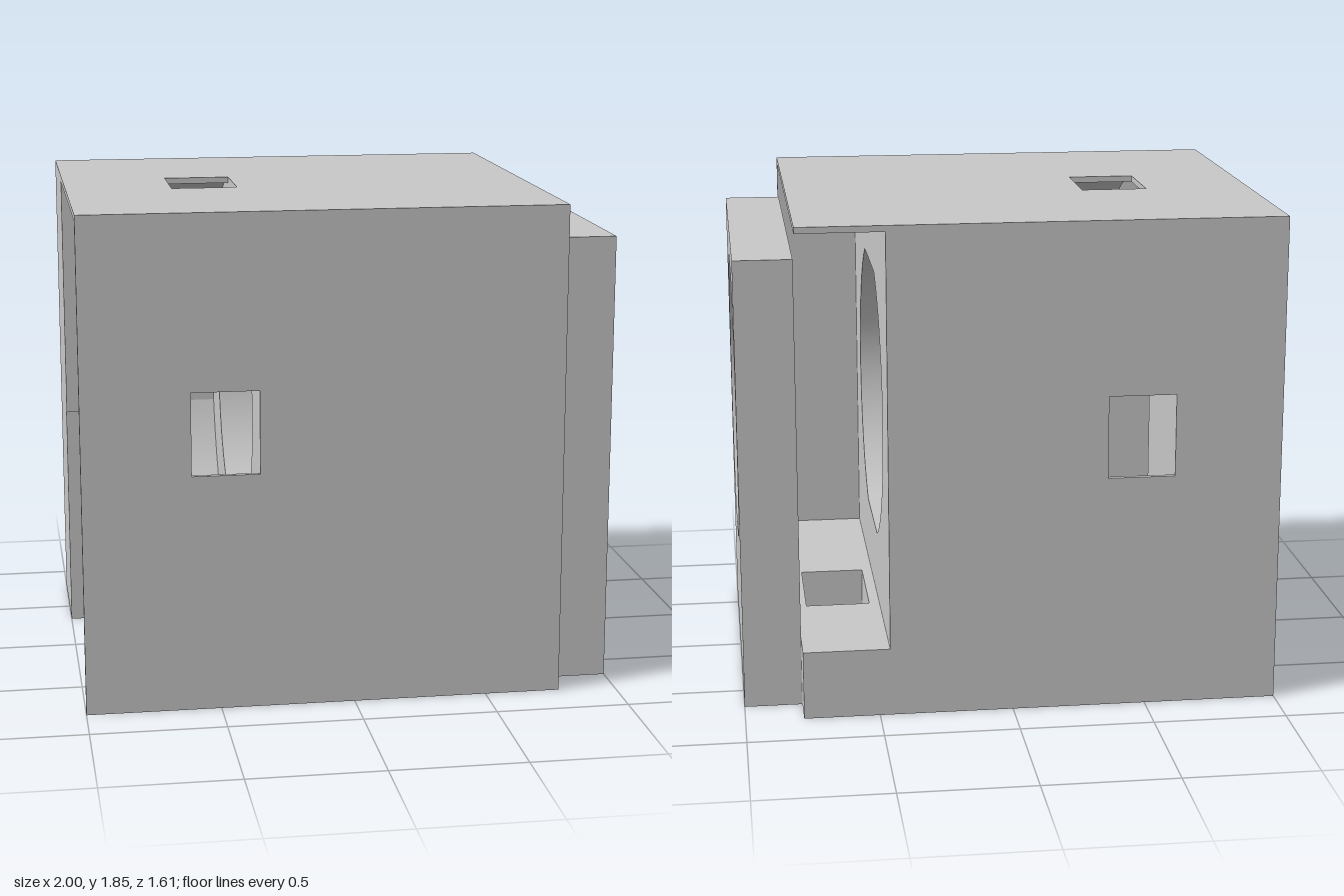
import * as THREE from 'three';
import { toCreasedNormals } from 'three/addons/utils/BufferGeometryUtils.js';

const OUTER = 0.805, INNER = 0.786;              // half depth outside and inside the covers
const LEDGE = 0.26, ROOF = 1.827, TOP = 1.85;    // y levels
const X0 = -1, X1 = -0.6, X2 = -0.35, X3 = 0.46, X4 = 0.783; // section planes along x
const CY = 1.044, R = 0.57, CHAMBER = 0.82;      // bore height, bore radius, rear chamber radius

export function createModel() {
  const model = new THREE.Group();
  const grey = new THREE.MeshStandardMaterial({ color: 0xc8c8c8 });
  grey.name = 'plain grey';

  // Extrude an outline along one axis. Points are [z, y] for x, [x, z] for y, [x, y] for z.
  function prism(name, axis, points, from, to, holes = []) {
    const map = ([a, b]) => axis === 'x' ? new THREE.Vector2(-a, b)
      : axis === 'y' ? new THREE.Vector2(a, -b) : new THREE.Vector2(a, b);
    const wind = (list, clockwise) => {
      const path = list.map(map);
      return THREE.ShapeUtils.isClockWise(path) === clockwise ? path : path.reverse();
    };
    const shape = new THREE.Shape(wind(points, false));
    for (const hole of holes) shape.holes.push(new THREE.Path(wind(hole, true)));
    let geo = new THREE.ExtrudeGeometry(shape, { depth: to - from, bevelEnabled: false });
    geo.translate(0, 0, from);
    if (axis === 'x') geo.rotateY(Math.PI / 2);
    if (axis === 'y') geo.rotateX(-Math.PI / 2);
    geo = toCreasedNormals(geo, 0.3);
    const mesh = new THREE.Mesh(geo, grey);
    mesh.name = name;
    model.add(mesh);
  }
  const rect = (a0, a1, b0, b1) => [[a0, b0], [a1, b0], [a1, b1], [a0, b1]];
  const arc = (from, to, r, ca = 0, cb = CY, n = 32) =>
    Array.from({ length: n + 1 }, (_, i) => {
      const t = from + (to - from) * i / n;
      return [ca + r * Math.cos(t), cb + r * Math.sin(t)];
    });

  // Round bore with flat top and bottom
  const flat = Math.asin(0.523 / R);
  const bore = [...arc(-flat, flat, R), ...arc(Math.PI - flat, Math.PI + flat, R)];
  const sideWindow = rect(X1, X2, 0.89, 1.2);

  // Base with square opening and round screw hole
  prism('base', 'y', rect(X2, X4, -OUTER, INNER), 0, LEDGE, [
    rect(0.5, 0.745, -0.3, 0.1),
    arc(0, Math.PI * 2 * 31 / 32, 0.084, 0.21, 0.63, 31),
  ]);

  // Main body around the bore
  prism('body', 'x', rect(-OUTER, INNER, LEDGE, ROOF), X2, X3, [bore]);

  // Wider chamber behind the bore, cut off by the front, back and top covers
  const side = Math.acos(INNER / CHAMBER);
  const roof = Math.asin((ROOF - CY) / CHAMBER);
  prism('chamberFloor', 'x',
    [[INNER, 0], ...arc(-side, side - Math.PI, CHAMBER), [-INNER, 0]], X1, X2);
  for (const s of [1, -1]) {
    prism(s > 0 ? 'chamberFrontCorner' : 'chamberBackCorner', 'x',
      [...arc(side, roof, CHAMBER), [INNER, ROOF]].map(([z, y]) => [s * z, y]), X1, X2);
  }
  prism('chamberBackWall', 'z', rect(X1, X2, 0, ROOF), -OUTER, -INNER, [sideWindow]);

  // Side block, with a shallow notch at its lower outer corner
  prism('sideBlock', 'z', rect(X0, X1, 0, ROOF), -OUTER, -0.33);
  prism('sideBlockFace', 'z',
    [[-0.9, 0], [X1, 0], [X1, ROOF], [X0, ROOF], [X0, 0.89], [-0.9, 0.89]], -0.33, -0.294);

  // Thin cover sheets
  prism('frontCover', 'z', rect(X0, X4, 0, ROOF), INNER, OUTER, [sideWindow]);
  prism('topCover', 'y', rect(X0, X4, -OUTER, OUTER), ROOF, TOP, [rect(X1, X2, -0.155, 0.15)]);

  // Separate end plate with matching bore
  prism('endPlate', 'x', rect(-0.663, 0.663, 0, 1.708), X4, 1, [bore]);

  return model;
}
